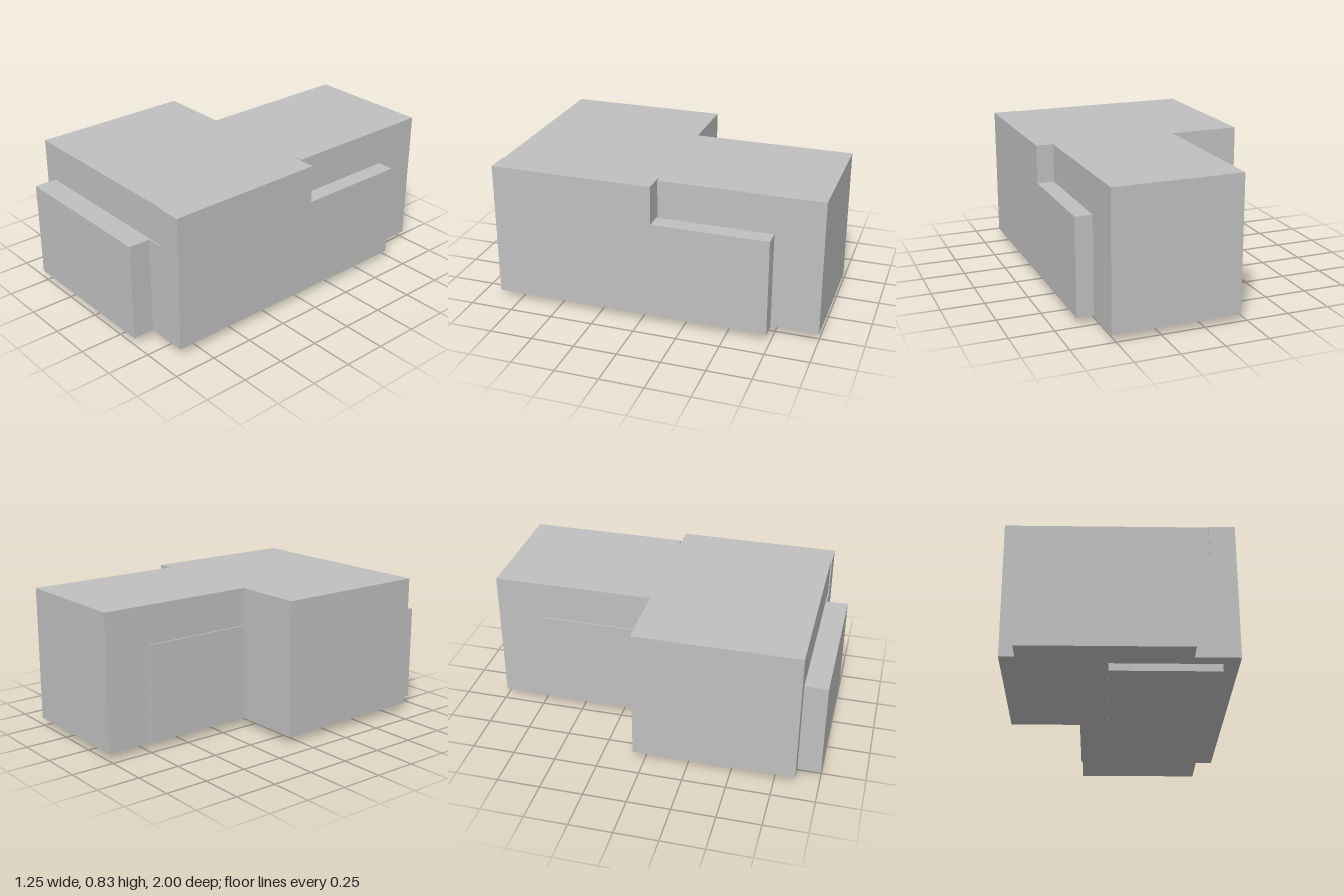
import * as THREE from 'three';

export function createModel() {
  const model = new THREE.Group();
  const wallGrey = new THREE.MeshStandardMaterial({ color: 0xc0c0c0 });
  wallGrey.name = 'wallGrey';

  // Box given by its [min, max] extents on each axis
  function block(name, [x0, x1], [y0, y1], [z0, z1]) {
    const mesh = new THREE.Mesh(new THREE.BoxGeometry(x1 - x0, y1 - y0, z1 - z0), wallGrey);
    mesh.name = name;
    mesh.position.set((x0 + x1) / 2, (y0 + y1) / 2, (z0 + z1) / 2);
    model.add(mesh);
  }

  const base = 0.042, low = 0.606, top = 0.827;

  // L-shaped storey: wide front hall and narrower rear wing
  block('frontHall', [-0.625, 0.48], [base, top], [-0.07, 0.868]);
  block('hallEndUpper', [0.48, 0.622], [low, top], [-0.063, 0.875]);
  block('hallEndLower', [0.38, 0.622], [base, low], [-0.063, 0.875]);
  block('rearWing', [-0.212, 0.524], [base, top], [-1, -0.07]);

  // Lower extensions
  block('frontPorch', [-0.542, 0.38], [base, low], [0.868, 1]);
  block('sideAnnex', [0.524, 0.622], [base, low], [-0.728, -0.063]);
  block('wingWallPanel', [-0.221, -0.212], [base, low], [-0.728, -0.07]);

  // Shallow slab underneath
  block('foundationSlab', [-0.06, 0.535], [0, base], [-0.06, 0.797]);

  return model;
}
